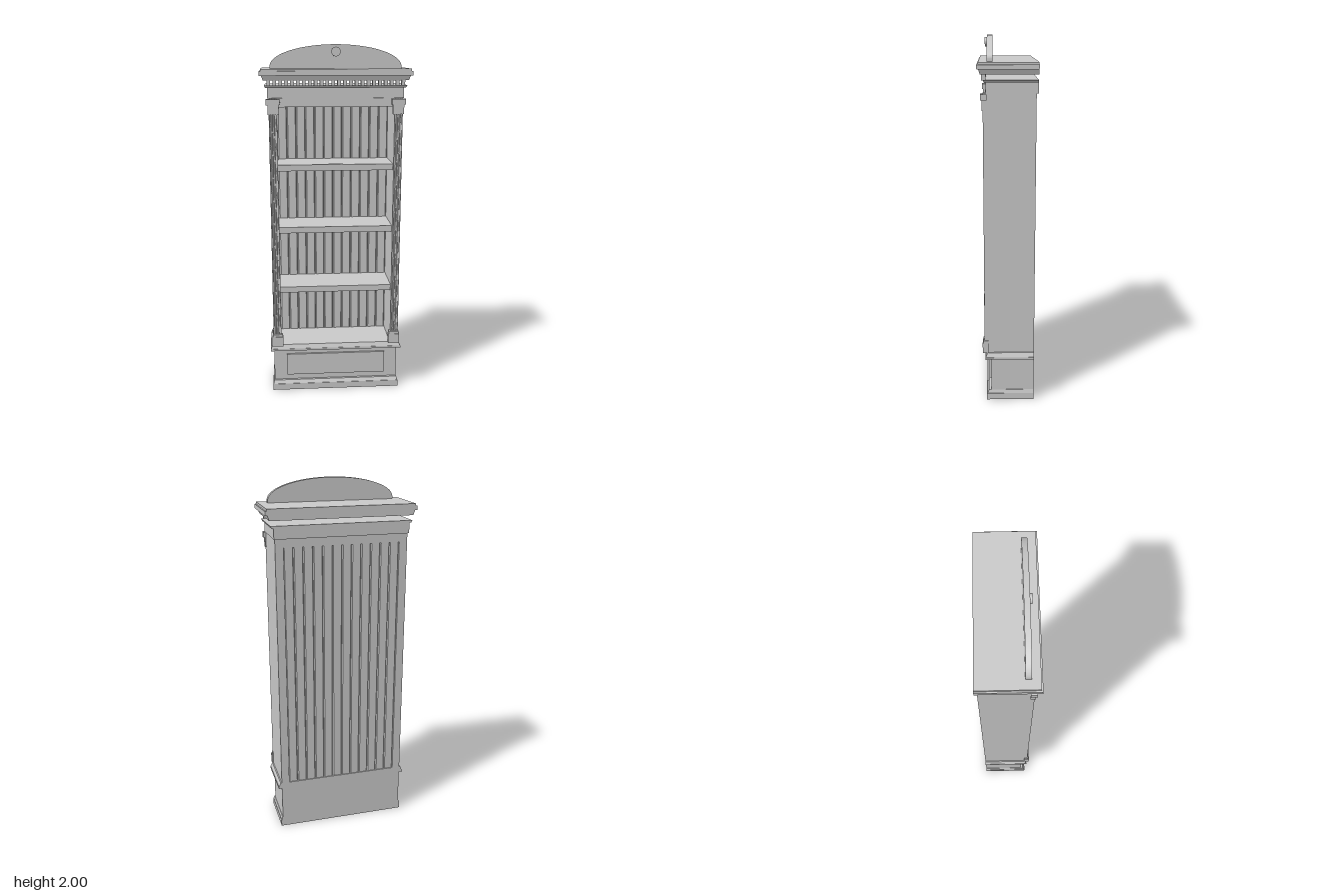
import * as THREE from 'three';
import { toCreasedNormals } from 'three/addons/utils/BufferGeometryUtils.js';

const material = new THREE.MeshStandardMaterial({ color: 0xcccccc });

export function createModel() {
  const model = new THREE.Group();
  model.name = 'bookcase';

  const add = (name, geometry, parent = model) => {
    const mesh = new THREE.Mesh(geometry, material);
    mesh.name = name;
    parent.add(mesh);
    return mesh;
  };

  // Box given by its limits on each axis
  const box = (name, x0, x1, y0, y1, z0, z1, parent) => {
    const g = new THREE.BoxGeometry(x1 - x0, y1 - y0, z1 - z0);
    g.translate((x0 + x1) / 2, (y0 + y1) / 2, (z0 + z1) / 2);
    return add(name, g, parent);
  };

  // Symmetric slab with a flat back; half-width w and front f may differ at the top
  const tier = (name, y0, y1, w0, f0, back, w1 = w0, f1 = f0) => {
    const g = new THREE.BoxGeometry(2, y1 - y0, 1);
    const p = g.attributes.position;
    for (let i = 0; i < p.count; i++) {
      const top = p.getY(i) > 0;
      const z = p.getZ(i) > 0 ? (top ? f1 : f0) : back;
      p.setXYZ(i, p.getX(i) * (top ? w1 : w0), top ? y1 : y0, z);
    }
    g.computeVertexNormals();
    return add(name, g);
  };

  // Extrude a plan drawn in x and -z upwards from y0 to y1
  const column = (shape, y0, y1) => {
    const g = new THREE.ExtrudeGeometry(shape, { depth: y1 - y0, bevelEnabled: false, curveSegments: 8 });
    g.rotateX(-Math.PI / 2).translate(0, y0, 0);
    return toCreasedNormals(g, 0.6);
  };

  const BACK = -0.147, CORNICE_BACK = -0.157;

  // Base with plinth, raised drawer panel and moulding
  tier('plinth', 0, 0.037, 0.373, 0.116, BACK);
  tier('plinthMoulding', 0.037, 0.057, 0.371, 0.113, BACK, 0.366, 0.104);
  tier('baseBody', 0.057, 0.252, 0.364, 0.09, BACK);
  box('drawerPanel', -0.29, 0.29, 0.09, 0.22, 0.085, 0.102);
  tier('baseMouldingLower', 0.252, 0.264, 0.384, 0.123, BACK);
  tier('baseMouldingUpper', 0.264, 0.288, 0.382, 0.121, BACK, 0.372, 0.112);

  // Side walls ending in fluted pilasters, with foot and capital blocks
  const plan = new THREE.Shape();
  plan.moveTo(0.32, -BACK);
  plan.lineTo(0.32, -0.127);
  for (const x of [0.3295, 0.3425, 0.3555]) {
    plan.lineTo(x - 0.005, -0.127);
    plan.absarc(x, -0.127, 0.005, Math.PI, 0, true);
  }
  plan.lineTo(0.365, -0.127);
  plan.lineTo(0.365, -BACK);
  plan.closePath();
  const wall = column(plan, 0.287, 1.718);
  for (const side of [1, -1]) {
    const group = new THREE.Group();
    group.name = side > 0 ? 'leftSide' : 'rightSide';
    model.add(group);
    const panel = add('sidePanel', wall, group);
    if (side < 0) panel.position.x = -0.685;
    const block = (name, a, b, y0, y1, z) =>
      box(name, Math.min(a * side, b * side), Math.max(a * side, b * side), y0, y1, 0.107, z, group);
    block('pilasterFoot', 0.308, 0.373, 0.288, 0.345, 0.138);
    block('pilasterFootCap', 0.312, 0.369, 0.345, 0.36, 0.134);
    block('capitalBlock', 0.31, 0.371, 0.1 + 1.53, 1.683, 0.133);
    block('capitalTop', 0.304, 0.379, 1.683, 1.713, 0.139);
  }

  // Beaded boards of the back, in a shallow recess
  const boards = new THREE.Group();
  boards.name = 'backBoards';
  model.add(boards);
  const pitch = 0.64 / 12, h = pitch / 2, c = 0.005;
  const board = new THREE.Shape([
    [-h, 0.131], [-h + c, 0.125], [h - c, 0.125], [h, 0.131],
    [h, 0.136], [h - c, 0.142], [-h + c, 0.142], [-h, 0.136],
  ].map(([x, y]) => new THREE.Vector2(x, y)));
  const boardGeometry = column(board, 0.287, 1.68);
  for (let i = 0; i < 12; i++) {
    add('backBoard', boardGeometry, boards).position.x = (i - 5.5) * pitch;
  }
  box('backRail', -0.32, 0.32, 1.67, 1.718, BACK, -0.12);
  box('headerRail', -0.32, 0.32, 1.67, 1.718, 0.09, 0.115);

  // Shelves with a stepped front edge
  for (const y of [0.642, 0.997, 1.353]) {
    box('shelf', -0.32, 0.32, y - 0.015, y, -0.13, 0.104);
    box('shelfEdge', -0.32, 0.32, y - 0.036, y - 0.015, -0.13, 0.098);
  }
  box('shelfTab', -0.04, 0.04, 1.346, 1.356, 0.09, 0.108);

  // Frieze, dentils and cornice
  tier('frieze', 1.716, 1.772, 0.371, 0.111, CORNICE_BACK);
  tier('friezeMoulding', 1.772, 1.785, 0.38, 0.12, CORNICE_BACK, 0.387, 0.126);
  const dentils = new THREE.Group();
  dentils.name = 'dentils';
  model.add(dentils);
  for (let i = 0; i < 24; i++) {
    const x = (i - 11.5) * 0.0316;
    box('dentil', x - 0.0095, x + 0.0095, 1.783, 1.814, 0.112, 0.134, dentils);
  }
  tier('corniceLower', 1.812, 1.838, 0.392, 0.139, CORNICE_BACK, 0.401, 0.147);
  tier('corniceMiddle', 1.838, 1.861, 0.413, 0.156, CORNICE_BACK);
  tier('corniceTop', 1.861, 1.873, 0.405, 0.149, CORNICE_BACK);

  // Arched crest with a round boss
  const arch = new THREE.Shape();
  arch.moveTo(-0.355, 1.87);
  arch.lineTo(0.355, 1.87);
  arch.lineTo(0.355, 1.885);
  arch.absellipse(0, 1.885, 0.355, 0.115, 0, Math.PI, false);
  arch.closePath();
  const crest = new THREE.ExtrudeGeometry(arch, { depth: 0.029, bevelEnabled: false, curveSegments: 48 });
  crest.translate(0, 0, 0.076);
  add('crest', toCreasedNormals(crest, 0.6));
  const boss = new THREE.CylinderGeometry(0.025, 0.025, 0.02, 32);
  boss.rotateX(Math.PI / 2).translate(0, 1.962, 0.107);
  add('crestBoss', boss);

  return model;
}
